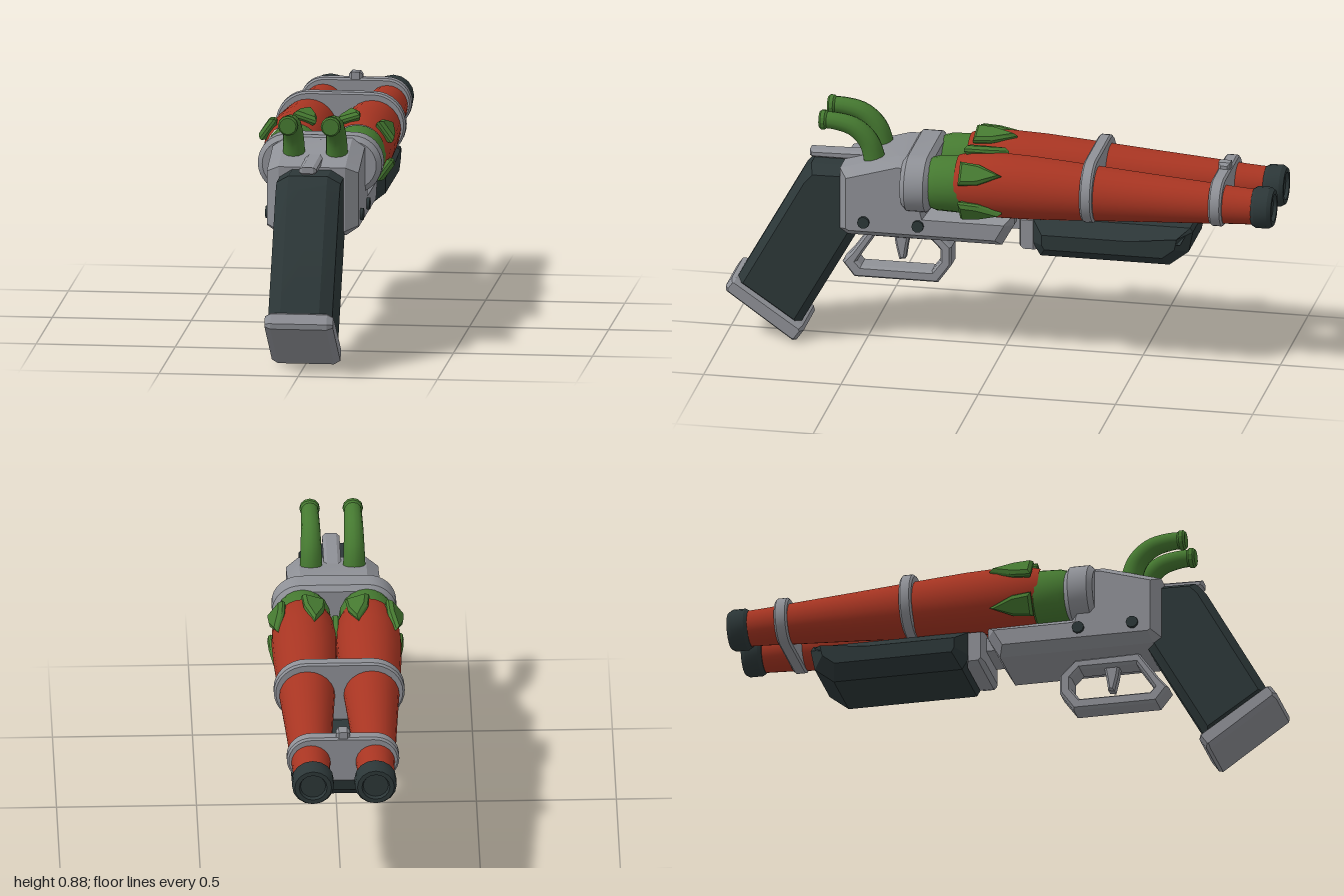
import * as THREE from 'three';
import { toCreasedNormals } from 'three/addons/utils/BufferGeometryUtils.js';

const mat = (name, color) => {
  const m = new THREE.MeshStandardMaterial({ color });
  m.name = name;
  return m;
};

export function createModel() {
  const root = new THREE.Group();
  root.name = 'pepperShotgun';
  const gray = mat('gray metal', 0x8f9197);
  const dark = mat('dark grip', 0x2c3738);
  const red = mat('pepper red', 0xa83522);
  const green = mat('stem green', 0x467a31);

  const add = (name, geometry, material, x = 0, y = 0, z = 0) => {
    const m = new THREE.Mesh(geometry, material);
    m.name = name;
    m.position.set(x, y, z);
    root.add(m);
    return m;
  };
  const shapeOf = (pts) => new THREE.Shape(pts.map(([a, b]) => new THREE.Vector2(a, b)));

  // Chamfered slab centred on its own depth axis
  const slab = (shape, depth, chamfer, inset = chamfer) => {
    const g = new THREE.ExtrudeGeometry(shape, {
      depth: depth - 2 * chamfer, bevelEnabled: chamfer > 0, bevelThickness: chamfer,
      bevelSize: inset, bevelOffset: -inset, bevelSegments: 1, curveSegments: 8,
    });
    return g.translate(0, 0, -depth / 2 + chamfer);
  };
  // Side profile given as (z, y), extruded across x
  const sideSlab = (pts, width, chamfer, inset, hole) => {
    const s = shapeOf(pts);
    if (hole) s.holes.push(shapeOf(hole));
    return toCreasedNormals(slab(s, width, chamfer, inset).rotateY(-Math.PI / 2), 0.3);
  };
  // Round profile given as (radius, distance forward), turned along -z
  const turned = (pts, segments = 20) => toCreasedNormals(
    new THREE.LatheGeometry(pts.map(([r, t]) => new THREE.Vector2(r, t)), segments)
      .rotateX(-Math.PI / 2), 0.5);
  // Wide pill shape that wraps both barrels
  const pill = (cx, r) => {
    const s = new THREE.Shape();
    s.absarc(cx, 0, r, -Math.PI / 2, Math.PI / 2, false);
    s.absarc(-cx, 0, r, Math.PI / 2, Math.PI * 1.5, false);
    return s;
  };
  const pillSlab = (cx, r, depth, chamfer) => toCreasedNormals(slab(pill(cx, r), depth, chamfer), 0.5);

  // Receiver and the breech block behind the barrels
  add('receiver', sideSlab([[0.58, 0.68], [0.37, 0.742], [0.3, 0.742], [0.25, 0.55], [-0.055, 0.55],
    [-0.055, 0.51], [-0.01, 0.43], [0.55, 0.43], [0.58, 0.45]], 0.33, 0.045, 0.03), gray);
  add('breechBlock', pillSlab(0.118, 0.105, 0.105, 0.018), gray, 0, 0.645, 0.294);

  // Barrel bands and front sight
  add('rearBand', pillSlab(0.117, 0.117, 0.046, 0.007), gray, 0, 0.664, -0.335);
  add('frontBand', pillSlab(0.112, 0.089, 0.048, 0.007), gray, 0, 0.654, -0.799);
  add('frontSight', sideSlab([[-0.777, 0.73], [-0.777, 0.765], [-0.82, 0.765], [-0.82, 0.73]],
    0.05, 0.01), gray);

  // Fore-end with its metal spacer
  add('foreEnd', sideSlab([[-0.12, 0.545], [-0.12, 0.45], [-0.15, 0.4], [-0.62, 0.4],
    [-0.69, 0.455], [-0.705, 0.53], [-0.695, 0.545]], 0.356, 0.06, 0.045), dark);
  add('foreEndSpacer', sideSlab([[-0.07, 0.545], [-0.07, 0.43], [-0.085, 0.415], [-0.135, 0.415],
    [-0.135, 0.545]], 0.26, 0.03, 0.01), gray);
  add('foreEndLug', new THREE.BoxGeometry(0.16, 0.05, 0.14), gray, 0, 0.505, -0.08);

  // Grip and butt plate
  add('grip', sideSlab([[0.695, 0.67], [0.55, 0.672], [0.47, 0.6], [0.505, 0.46], [0.74, 0.045],
    [0.972, 0.2], [0.735, 0.625]], 0.23, 0.045, 0.028), dark);
  add('buttPlate', sideSlab([[1, 0.19], [0.978, 0.222], [0.962, 0.222], [0.72, 0.058], [0.716, 0.04],
    [0.742, 0.003], [0.757, 0], [0.998, 0.17]], 0.246, 0.022, 0.012), gray);

  // Trigger guard and trigger
  add('triggerGuard', sideSlab(
    [[0.48, 0.435], [0.245, 0.43], [0.19, 0.375], [0.19, 0.305], [0.24, 0.235], [0.545, 0.235],
      [0.588, 0.29], [0.55, 0.335]], 0.09, 0.012, 0.008,
    [[0.47, 0.395], [0.51, 0.335], [0.535, 0.295], [0.52, 0.278], [0.262, 0.278], [0.232, 0.318],
      [0.232, 0.362], [0.263, 0.395]]), gray);
  add('trigger', sideSlab([[0.41, 0.44], [0.34, 0.44], [0.355, 0.36], [0.362, 0.31], [0.385, 0.305],
    [0.398, 0.36]], 0.045, 0.008), gray);

  // Top lever
  add('topLever', sideSlab([[0.71, 0.682], [0.71, 0.704], [0.42, 0.71], [0.4, 0.7], [0.4, 0.675],
    [0.7, 0.675]], 0.062, 0.012, 0.008), gray);

  // Pepper body tapers toward the muzzle
  const barrelProfile = [[0.098, -0.15], [0.112, -0.1], [0.117, 0], [0.114, 0.12], [0.107, 0.24],
    [0.098, 0.38], [0.087, 0.55], [0.075, 0.75], [0.068, 0.85], [0.063, 0.95]];
  const capProfile = [[0, 0.925], [0.067, 0.925], [0.075, 0.938], [0.075, 0.985], [0.066, 1],
    [0.05, 1], [0.045, 0.988], [0, 0.988]];
  const collarProfile = [[0, -0.25], [0.09, -0.25], [0.099, -0.22], [0.102, -0.13], [0.09, -0.115]];
  const leafShape = shapeOf([[-0.044, 0], [0.044, 0], [0.037, 0.07], [0, 0.155], [-0.037, 0.07]]);

  // Curved stalk whose radius narrows, then swells at the tip
  const stalkPath = new THREE.CatmullRomCurve3([[0.655, 0.458], [0.71, 0.463], [0.775, 0.485],
    [0.823, 0.535], [0.841, 0.6], [0.843, 0.652]].map(([y, z]) => new THREE.Vector3(0, y, z)));
  const stalkGeometry = () => {
    const rings = 20, sides = 12;
    const g = new THREE.TubeGeometry(stalkPath, rings, 1, sides);
    const p = g.attributes.position, c = new THREE.Vector3(), v = new THREE.Vector3();
    for (let i = 0; i < p.count; i++) {
      const t = Math.floor(i / (sides + 1)) / rings;
      stalkPath.getPointAt(t, c);
      v.fromBufferAttribute(p, i).sub(c).multiplyScalar(0.042 - 0.012 * t).add(c);
      p.setXYZ(i, v.x, v.y, v.z);
    }
    return g;
  };

  for (const s of [1, -1]) {
    const side = s > 0 ? 'left' : 'right';
    const barrel = turned(barrelProfile, 24);
    const p = barrel.attributes.position;
    for (let i = 0; i < p.count; i++) p.setY(i, p.getY(i) + 0.013 * p.getZ(i));
    add(side + 'Barrel', barrel, red, s * 0.115, 0.656, 0);
    add(side + 'MuzzleCap', turned(capProfile, 16), dark, s * 0.112, 0.643, 0);
    add(side + 'Collar', turned(collarProfile), green, s * 0.114, 0.648, 0);

    // Five calyx leaves around each collar
    for (let k = 0; k < 5; k++) {
      const a = Math.PI / 5 + (k * Math.PI * 2) / 5;
      const angle = s > 0 ? a : Math.PI - a;
      const g = slab(leafShape, 0.034, 0.012, 0.01).rotateX(-Math.PI / 2)
        .translate(0, 0.118, 0.128).rotateZ(angle - Math.PI / 2);
      add(side + 'Leaf' + (k + 1), toCreasedNormals(g, 0.3), green, s * 0.115, 0.656, 0);
    }

    // Stalk used as a hammer
    add(side + 'Stalk', stalkGeometry(), green, s * 0.077, 0, 0);
    add(side + 'StalkTip', turned([[0, -0.014], [0.03, -0.014], [0.036, -0.007], [0.036, 0.007],
      [0.029, 0.016]], 12), green, s * 0.077, 0.843, 0.648);

    // Receiver pins
    for (const z of [0.485, 0.287]) {
      add(side + 'Pin', new THREE.CylinderGeometry(0.022, 0.022, 0.03, 10).rotateZ(Math.PI / 2),
        dark, s * 0.161, 0.496, z);
    }
  }
  return root;
}
